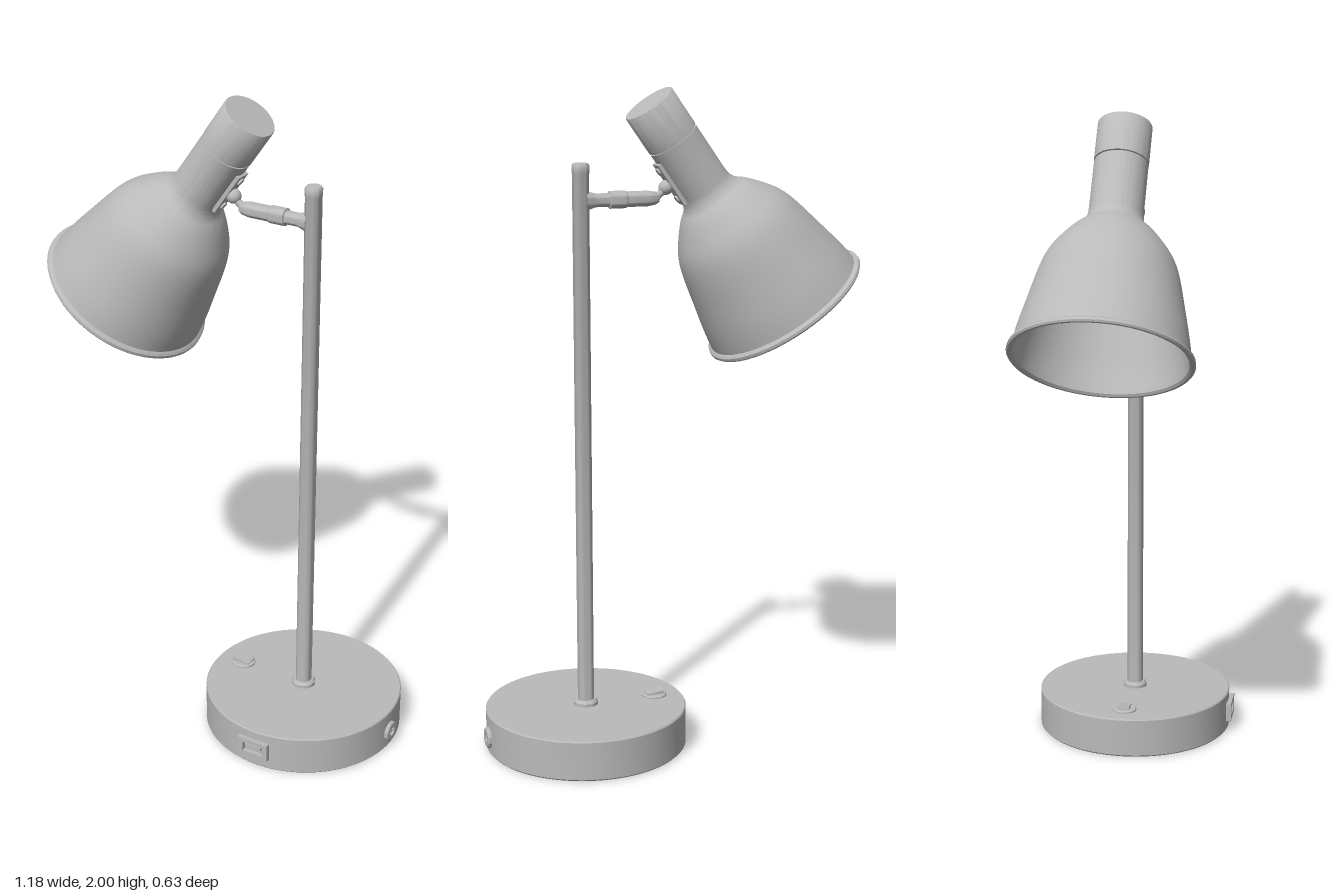
import * as THREE from 'three';
import { toCreasedNormals } from 'three/addons/utils/BufferGeometryUtils.js';

export function createModel() {
  const lamp = new THREE.Group();
  lamp.name = 'deskLamp';
  const grey = new THREE.MeshStandardMaterial({ color: 0xbababa });
  grey.name = 'grey metal';

  const add = (name, geometry, parent, x = 0, y = 0, z = 0) => {
    const mesh = new THREE.Mesh(geometry, grey);
    mesh.name = name;
    mesh.position.set(x, y, z);
    parent.add(mesh);
    return mesh;
  };
  const turned = (points, segments = 64) => toCreasedNormals(
    new THREE.LatheGeometry(points.map(([r, y]) => new THREE.Vector2(r, y)), segments), 0.6);

  // Base, pole and collar share one vertical axis
  const stand = new THREE.Group();
  stand.name = 'stand';
  stand.position.set(0.272, 0, -0.006);
  lamp.add(stand);
  add('base', turned([[0, 0], [0.303, 0], [0.308, 0.005], [0.308, 0.121], [0.305, 0.125], [0, 0.125]], 96), stand);
  add('poleCollar', turned([[0.037, 0.12], [0.037, 0.134], [0.031, 0.142], [0.02, 0.142]], 32), stand);
  add('pole', turned([[0.025, 0.12], [0.025, 1.755], [0.026, 1.757], [0.026, 1.778], [0.022, 1.785], [0, 1.785]], 32), stand);

  // Rocker switch on top of the base
  add('switchBezel', turned([[0.038, 0], [0.038, 0.005], [0.034, 0.008], [0, 0.008]], 32), stand, -0.222, 0.124, 0);
  const rocker = add('switchRocker', new THREE.BoxGeometry(0.054, 0.012, 0.036), stand, -0.222, 0.133, 0);
  rocker.rotation.z = -0.14;

  // Charging port on the front of the base: frame, recess and contacts
  const port = new THREE.Group();
  port.name = 'chargingPort';
  port.position.set(0, 0.066, 0.309);
  stand.add(port);
  const frame = new THREE.Shape();
  frame.moveTo(-0.052, -0.029).lineTo(0.052, -0.029).lineTo(0.052, 0.029).lineTo(-0.052, 0.029).closePath();
  const slot = new THREE.Path();
  slot.moveTo(-0.034, -0.015).lineTo(-0.034, 0.015).lineTo(0.034, 0.015).lineTo(0.034, -0.015).closePath();
  frame.holes.push(slot);
  add('portFrame', new THREE.ExtrudeGeometry(frame, { depth: 0.016, bevelEnabled: false }), port, 0, 0, -0.004);
  add('portTongue', new THREE.BoxGeometry(0.054, 0.01, 0.012), port, 0, 0.004, 0.002);

  // Round power socket on the side of the base
  const socket = add('powerSocket', turned(
    [[0.032, 0], [0.032, 0.012], [0.028, 0.016], [0.014, 0.016], [0.014, 0.008], [0, 0.008]], 32), stand, 0.302, 0.054, 0);
  socket.rotation.z = -Math.PI / 2;
  const pin = add('socketPin', new THREE.CylinderGeometry(0.005, 0.005, 0.012, 12), stand, 0.31, 0.054, 0);
  pin.rotation.z = Math.PI / 2;

  // Arm reaching from the pole to the head, turned around its own axis
  const arm = add('arm', turned([
    [0.03, 0.012], [0.023, 0.035], [0.02, 0.045], [0.02, 0.085], [0.026, 0.087], [0.026, 0.135],
    [0.023, 0.139], [0.023, 0.205], [0.019, 0.228], [0.013, 0.238], [0, 0.238],
  ], 32), lamp, 0.272, 1.676, -0.006);
  arm.rotation.z = Math.PI / 2;
  const link = add('ballLink', new THREE.CylinderGeometry(0.011, 0.011, 0.07, 16), lamp, 0.025, 1.692, -0.006);
  link.rotation.z = 0.92;

  // Tilted head: local y runs from the shade rim up to the cap
  const head = new THREE.Group();
  head.name = 'head';
  head.position.set(-0.372, 1.33, -0.006);
  head.rotation.z = -THREE.MathUtils.degToRad(35);
  lamp.add(head);

  // Shade as a thin shell: inner wall down, rolled rim, outer wall up
  const bell = new THREE.SplineCurve([
    [0.255, 0.02], [0.245, 0.08], [0.226, 0.165], [0.204, 0.26], [0.184, 0.315],
    [0.153, 0.362], [0.12, 0.402], [0.095, 0.425], [0.083, 0.448], [0.08, 0.475],
  ].map(([r, y]) => new THREE.Vector2(r, y))).getPoints(36).map((p) => [p.x, p.y]);
  const inner = bell.map(([r, y]) => [r - 0.007, y - 0.004]).reverse();
  add('shade', turned([
    [0, 0.471], ...inner, [0.25, 0.006], [0.257, 0],
    [0.264, 0], [0.268, 0.005], [0.267, 0.013], [0.262, 0.018], ...bell, [0.08, 0.63], [0.076, 0.63],
  ], 80), head);
  add('cap', turned([[0.076, 0.626], [0.076, 0.634], [0.081, 0.635], [0.081, 0.757], [0.079, 0.76], [0, 0.76]], 64), head);

  // Swivel bracket on the neck
  add('bracketPlate', new THREE.BoxGeometry(0.014, 0.145, 0.052), head, 0.08, 0.528, 0);
  for (const y of [0.478, 0.578]) {
    const screw = add('bracketScrew', new THREE.CylinderGeometry(0.012, 0.012, 0.008, 16), head, 0.089, y, 0);
    screw.rotation.z = Math.PI / 2;
  }
  add('swivelBall', new THREE.SphereGeometry(0.022, 24, 16), head, 0.098, 0.528, 0);
  return lamp;
}
